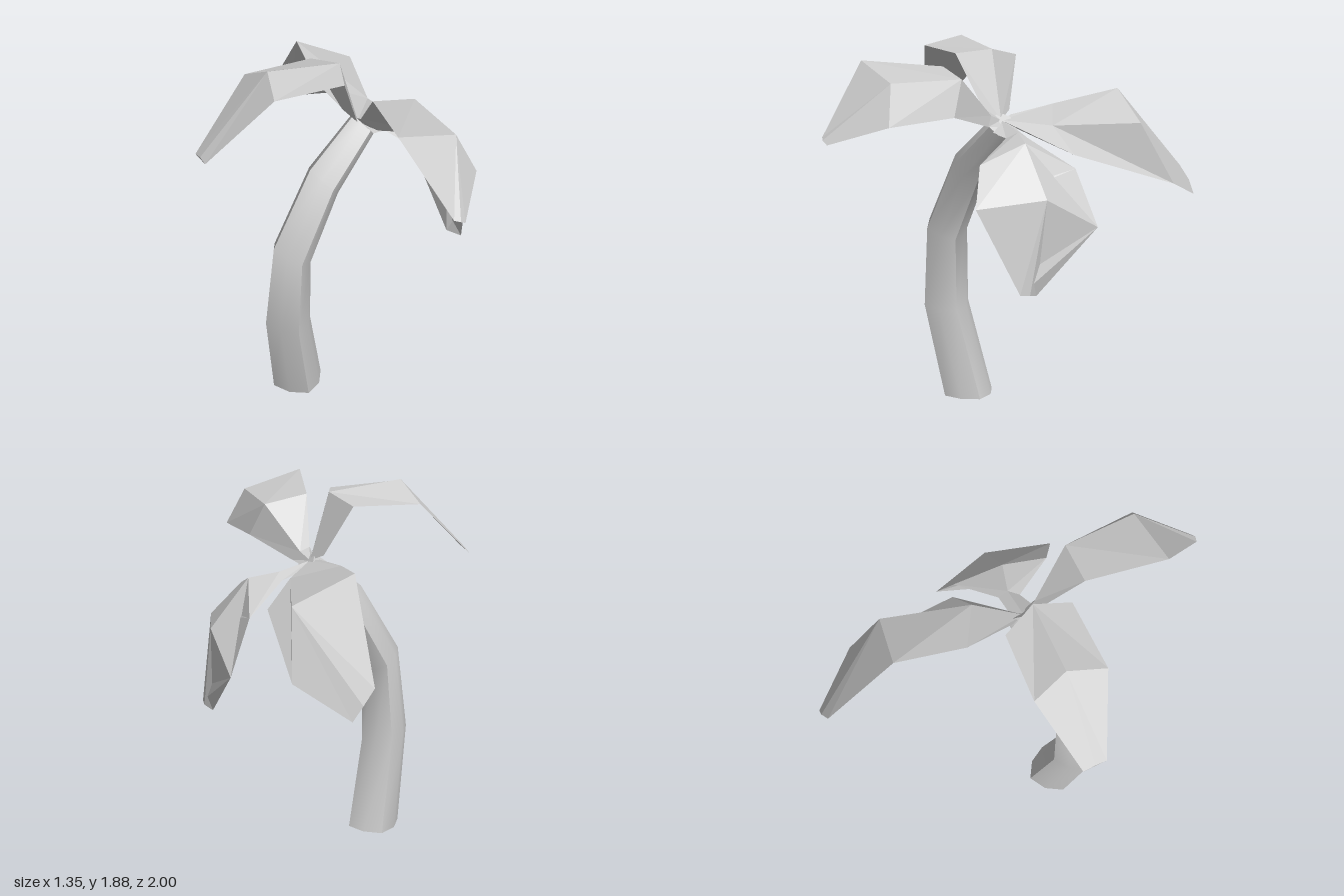
import * as THREE from 'three';

const material = new THREE.MeshStandardMaterial({ color: 0xcccccc, side: THREE.DoubleSide });
const leafMaterial = new THREE.MeshStandardMaterial({ color: 0xcccccc, side: THREE.DoubleSide, flatShading: true });

// Trunk rings: centre x, y, z, radius, tilt about z
const RINGS = [
  [-0.21, 0, 0.075, 0.138, 0],
  [-0.297, 0.485, 0.16, 0.126, -0.18],
  [-0.27, 0.9, 0.165, 0.114, -0.5],
  [-0.075, 1.25, 0.12, 0.106, -0.82],
  [0.17, 1.475, 0.06, 0.08, -0.85],
];

// Corner k of a ring; odd corners are pulled in a little
function ringPoint([x, y, z, r, tilt], k) {
  const angle = k * Math.PI / 4;
  const radius = k % 2 ? r * 0.89 : r;
  return new THREE.Vector3(radius * Math.sin(angle), 0, radius * Math.cos(angle))
    .applyAxisAngle(new THREE.Vector3(0, 0, 1), tilt)
    .add(new THREE.Vector3(x, y, z));
}

// Moves every vertex to the point a rule gives for its index
function shapedMesh(name, geo, rule) {
  const pos = geo.attributes.position;
  for (let i = 0; i < pos.count; i++) pos.setXYZ(i, ...rule(i).toArray());
  geo.computeVertexNormals();
  const mesh = new THREE.Mesh(geo, material);
  mesh.name = name;
  return mesh;
}

// Eight-sided trunk made of four smooth quarters, so four edges stay sharp
function makeTrunk() {
  const trunk = new THREE.Group();
  trunk.name = 'trunk';
  const last = RINGS.length - 1;
  for (let q = 0; q < 4; q++) {
    const strip = new THREE.CylinderGeometry(1, 1, 1, 2, last, true);
    trunk.add(shapedMesh('trunkQuarter', strip,
      (i) => ringPoint(RINGS[last - Math.floor(i / 3)], q * 2 + (i % 3))));
  }
  // End caps
  for (const [name, ring] of [['trunkBase', RINGS[0]], ['trunkTop', RINGS[last]]]) {
    trunk.add(shapedMesh(name, new THREE.CircleGeometry(1, 8),
      (i) => (i === 0 ? new THREE.Vector3(...ring) : ringPoint(ring, i - 1))));
  }
  return trunk;
}

// Each frond is a closed blade: rows of [edge, ridge, edge] from base to tip
const FRONDS = {
  rightFrond: [
    [[0.09, 1.54, -0.01], [0.14, 1.50, 0.06], [0.10, 1.54, 0.13]],
    [[-0.03, 1.80, -0.11], [0.04, 1.84, 0.06], [-0.02, 1.82, 0.23]],
    [[-0.37, 1.79, -0.125], [-0.33, 1.88, 0.05], [-0.38, 1.83, 0.235]],
    [[-0.68, 1.49, -0.02], [-0.68, 1.505, 0.04], [-0.68, 1.50, 0.10]],
  ],
  frontFrond: [
    [[0.12, 1.52, 0.06], [0.14, 1.50, 0.06], [0.17, 1.47, 0.06]],
    [[0.12, 1.55, 0.13], [0.17, 1.53, 0.13], [0.20, 1.48, 0.16]],
    [[0.07, 1.77, 0.34], [0.29, 1.73, 0.345], [0.355, 1.56, 0.415]],
    [[-0.01, 1.81, 0.73], [0.30, 1.73, 0.71], [0.39, 1.54, 0.76]],
    [[0.14, 1.48, 0.99], [0.17, 1.47, 1.0], [0.20, 1.45, 0.99]],
  ],
  leftFrond: [
    [[0.17, 1.47, 0.01], [0.14, 1.50, 0.06], [0.19, 1.45, 0.13]],
    [[0.30, 1.43, 0.00], [0.30, 1.46, 0.05], [0.27, 1.43, 0.10]],
    [[0.51, 1.30, -0.15], [0.45, 1.43, 0.09], [0.43, 1.34, 0.32]],
    [[0.625, 1.03, -0.21], [0.65, 1.19, 0.08], [0.57, 1.16, 0.41]],
    [[0.64, 0.735, 0.13], [0.672, 0.75, 0.18], [0.668, 0.755, 0.23]],
  ],
  backFrond: [
    [[0.11, 1.52, -0.01], [0.14, 1.50, 0.06], [0.20, 1.45, -0.02]],
    [[0.08, 1.555, -0.26], [0.30, 1.48, -0.14], [0.43, 1.35, -0.19]],
    [[0.13, 1.62, -0.61], [0.42, 1.48, -0.57], [0.47, 1.17, -0.74]],
    [[0.16, 1.20, -0.98], [0.22, 1.13, -1.0], [0.27, 1.06, -1.0]],
  ],
};

function makeFrond(name, rows) {
  const index = [];
  for (let r = 0; r < rows.length - 1; r++) {
    const a = r * 3, b = a + 3;
    // Two upper halves, split along diagonals that fan out from the ridge
    index.push(a, a + 1, b, a + 1, b + 1, b);
    index.push(a + 1, a + 2, b + 2, a + 1, b + 2, b + 1);
    // Flat underside from edge to edge
    index.push(a, b + 2, a + 2, a, b, b + 2);
  }
  // Tip
  const end = rows.length * 3;
  index.push(end - 3, end - 2, end - 1);
  const geo = new THREE.BufferGeometry();
  geo.setAttribute('position', new THREE.Float32BufferAttribute(rows.flat(2), 3));
  geo.setIndex(index);
  const flat = geo.toNonIndexed();
  flat.computeVertexNormals();
  const mesh = new THREE.Mesh(flat, leafMaterial);
  mesh.name = name;
  return mesh;
}

export function createModel() {
  const palm = new THREE.Group();
  palm.name = 'palmTree';
  palm.add(makeTrunk());
  for (const [name, rows] of Object.entries(FRONDS)) palm.add(makeFrond(name, rows));
  return palm;
}
